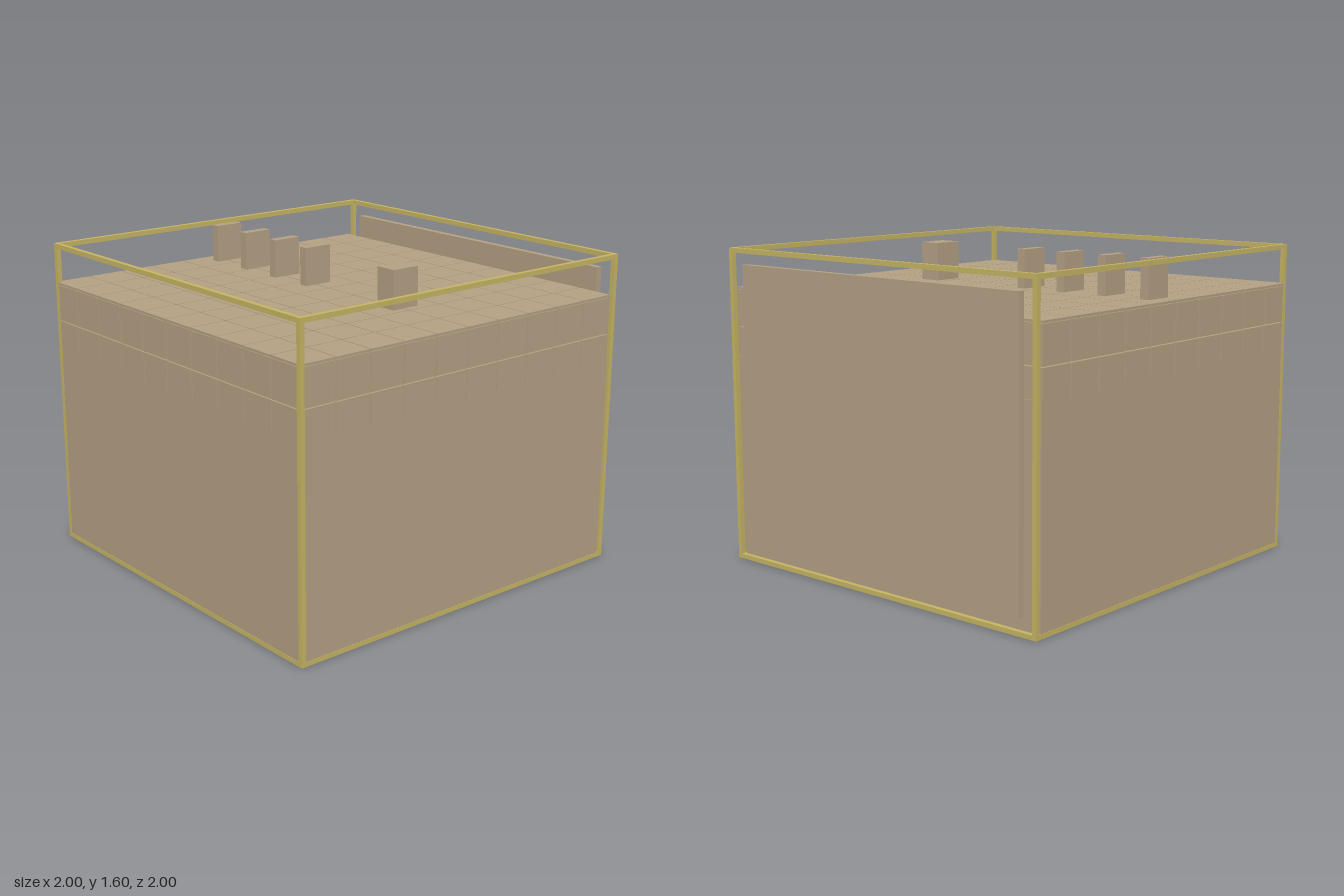
import * as THREE from 'three';

export function createModel() {
  const model = new THREE.Group();
  const tan = new THREE.MeshStandardMaterial({ color: 0xb5a184 });
  tan.name = 'tan';
  const olive = new THREE.MeshStandardMaterial({ color: 0xc6b562 });
  olive.name = 'olive yellow';

  // Box given by its minimum and maximum corners
  function box(name, material, [x0, y0, z0], [x1, y1, z1], parent = model) {
    const mesh = new THREE.Mesh(new THREE.BoxGeometry(x1 - x0, y1 - y0, z1 - z0), material);
    mesh.position.set((x0 + x1) / 2, (y0 + y1) / 2, (z0 + z1) / 2);
    mesh.name = name;
    parent.add(mesh);
  }

  // Solid base below the tiled layers
  const E = 0.998;
  box('base', tan, [-E, 0, -E], [0.963, 1.055, E]);

  // Layers of tiles, separated by narrow seams
  const tiles = new THREE.Group();
  tiles.name = 'tiles';
  model.add(tiles);
  const n = 10, gap = 0.005;
  const px = (0.96 + E) / n, pz = (2 * E) / n;
  for (const [y0, y1] of [[1.055, 1.198], [1.203, 1.386], [1.388, 1.4]]) {
    for (let i = 0; i < n; i++) {
      for (let k = 0; k < n; k++) {
        const x0 = -E + i * px, z0 = -E + k * pz;
        box('tile', tan,
          [x0 + (i ? gap / 2 : 0), y0, z0 + (k ? gap / 2 : 0)],
          [x0 + px - gap / 2, y1, z0 + pz - (k < n - 1 ? gap / 2 : 0)], tiles);
      }
    }
  }

  // Upright side panel
  box('sidePanel', tan, [0.965, 0.08, -0.9], [0.999, 1.52, 0.9]);

  // Row of blocks standing on the tiles
  for (const [z0, z1] of [[0.44, 0.555], [-0.15, -0.102], [-0.402, -0.354], [-0.654, -0.606], [-0.906, -0.858]]) {
    box('block', tan, [-0.08, 1.4, z0], [0.076, 1.595, z1]);
  }

  // Frame of thin bars along the twelve edges
  const frame = new THREE.Group();
  frame.name = 'frame';
  model.add(frame);
  const t = 0.024, H = 1.6;
  const ends = [[-1, -1 + t], [1 - t, 1]];
  const heights = [[0.001, t], [H - t, H]];
  for (const [a0, a1] of ends) {
    for (const [y0, y1] of heights) {
      box('barAcross', olive, [-1, y0, a0], [1, y1, a1], frame);
      box('barAlong', olive, [a0, y0, -1 + t], [a1, y1, 1 - t], frame);
    }
    for (const [z0, z1] of ends) box('post', olive, [a0, t, z0], [a1, H - t, z1], frame);
  }
  return model;
}
